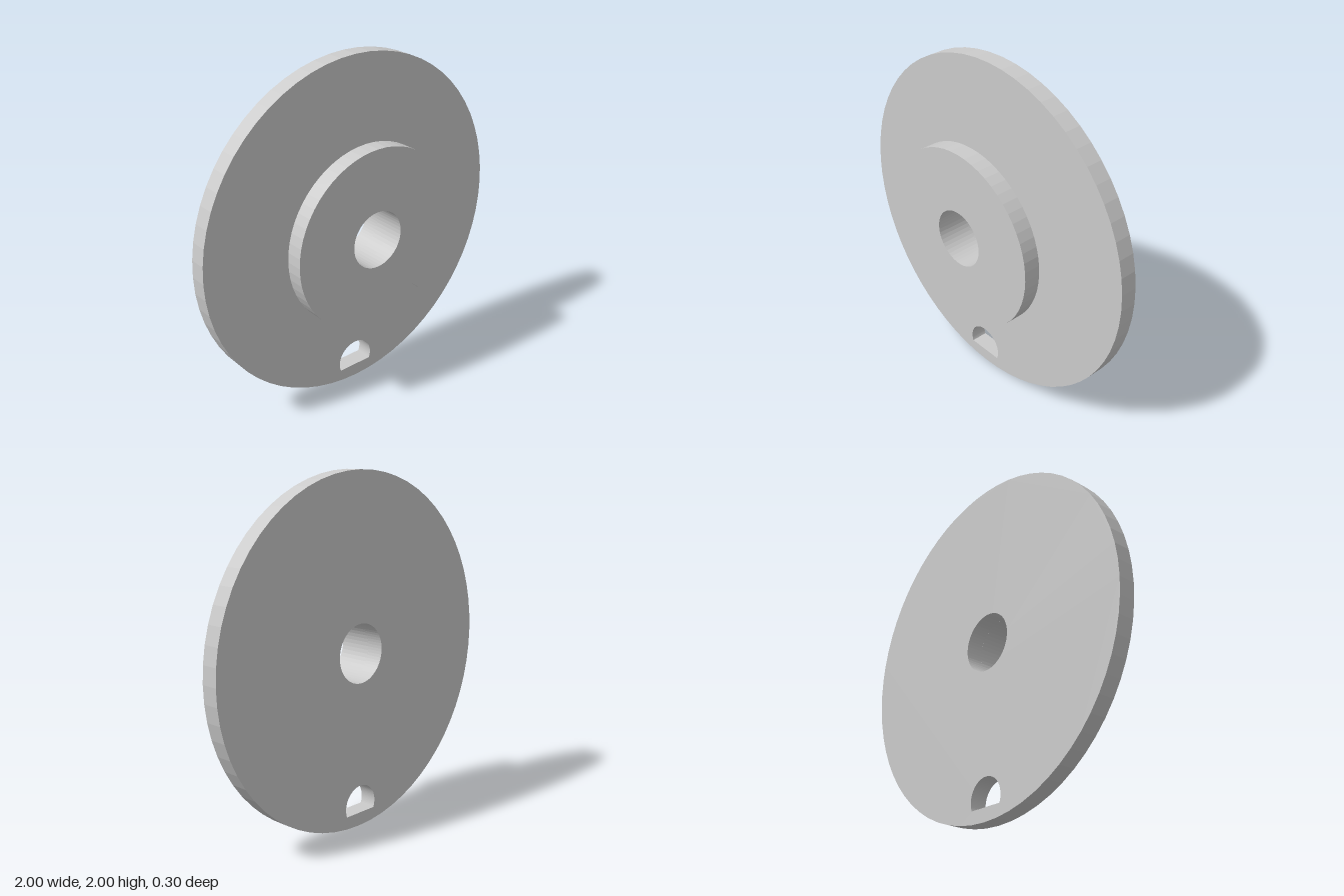
import * as THREE from 'three';

const CX = -0.013, CY = 1.004; // shared axis of hub, cam and bore
const T = 0.1;                 // thickness of every layer

function circle(ShapeType, x, y, r) {
  return new ShapeType().absarc(x, y, r, 0, Math.PI * 2, false);
}

export function createModel() {
  const group = new THREE.Group();
  const material = new THREE.MeshStandardMaterial({ color: 0xcccccc, flatShading: true });

  // Extrude one layer, pierced by the common bore
  function addLayer(name, shape, z, curveSegments) {
    shape.holes.push(circle(THREE.Path, CX, CY, 0.168));
    const geometry = new THREE.ExtrudeGeometry(shape, { depth: T, bevelEnabled: false, curveSegments });
    geometry.translate(0, 0, z);
    const mesh = new THREE.Mesh(geometry, material);
    mesh.name = name;
    group.add(mesh);
  }

  // Large back disc with a D-shaped pin hole near its lower rim
  const disc = circle(THREE.Shape, 0, 1, 1);
  const pinR = 0.118, pinY = 0.12, flat = Math.asin((pinY - 0.077) / pinR);
  const pinHole = new THREE.Path();
  pinHole.absarc(CX, pinY, pinR, -flat, Math.PI + flat, false);
  pinHole.closePath();
  disc.holes.push(pinHole);
  addLayer('backDisc', disc, -0.15, 32);

  // Hub spacing the two plates apart
  addLayer('hub', circle(THREE.Shape, CX, CY, 0.287), -0.05, 24);

  // Front cam plate: a circle with a concave bite at the bottom
  const halfChord = 0.3225, cornerY = 0.58, biteY = 0.262;
  const camR = Math.hypot(halfChord, CY - cornerY);
  const camA = Math.atan2(cornerY - CY, halfChord);
  const biteR = Math.hypot(halfChord, cornerY - biteY);
  const biteA = Math.atan2(cornerY - biteY, halfChord);
  const cam = new THREE.Shape();
  cam.absarc(CX, CY, camR, camA, Math.PI - camA, false);
  cam.absarc(CX, biteY, biteR, Math.PI - biteA, biteA, true);
  addLayer('camPlate', cam, 0.05, 24);

  return group;
}
